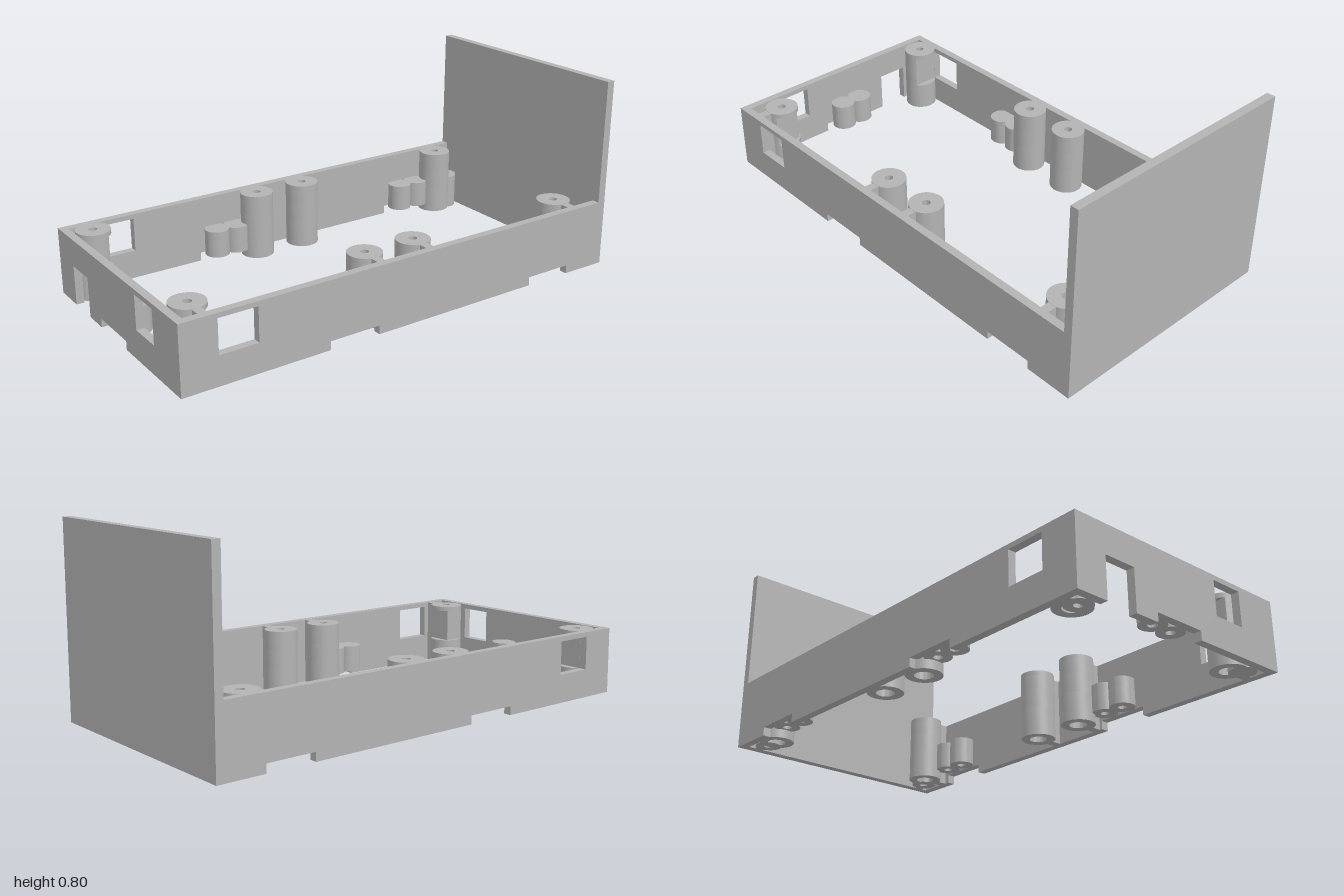
import * as THREE from 'three';
import { toCreasedNormals } from 'three/addons/utils/BufferGeometryUtils.js';

const H = 0.28; // frame height
const T = 0.033; // wall thickness
const D = 0.51; // half depth
const WIN = [0.12, 0.26]; // window sill and head

export function createModel() {
  const model = new THREE.Group();
  const grey = new THREE.MeshStandardMaterial({ color: 0xb3b3b3 });
  grey.name = 'grey plastic';

  const add = (geometry, name, parent = model) => {
    const mesh = new THREE.Mesh(geometry, grey);
    mesh.name = name;
    parent.add(mesh);
    return mesh;
  };
  const box = (name, x0, x1, y0, y1, z0, z1, parent) =>
    add(new THREE.BoxGeometry(x1 - x0, y1 - y0, z1 - z0), name, parent)
      .position.set((x0 + x1) / 2, (y0 + y1) / 2, (z0 + z1) / 2);

  // Wall outline with notches [start, end, height] along the bottom and one window
  const wallGeometry = (a, b, notches, window) => {
    const shape = new THREE.Shape();
    shape.moveTo(a, 0);
    for (const [s, e, h] of notches) {
      shape.lineTo(s, 0);
      shape.lineTo(s, h);
      shape.lineTo(e, h);
      shape.lineTo(e, 0);
    }
    shape.lineTo(b, 0);
    shape.lineTo(b, H);
    shape.lineTo(a, H);
    shape.closePath();
    const [s, e] = window;
    shape.holes.push(new THREE.Path([[s, WIN[0]], [s, WIN[1]], [e, WIN[1]], [e, WIN[0]]]
      .map(([x, y]) => new THREE.Vector2(x, y))));
    return new THREE.ExtrudeGeometry(shape, { depth: T, bevelEnabled: false });
  };

  // Front and back walls
  const longWall = wallGeometry(-1, 0.98, [[-0.39, -0.17, 0.036], [0.59, 0.80, 0.036]], [-0.85, -0.69]);
  add(longWall, 'frontWall').position.z = D - T;
  add(longWall, 'backWall').position.z = -D;

  // Left-hand end wall; its outline runs along -z before turning
  const endWall = wallGeometry(-D + T, D - T, [[-0.085, 0.135, 0.036], [0.24, 0.375, 0.165]], [-0.32, -0.18]);
  endWall.rotateY(Math.PI / 2);
  add(endWall, 'endWall').position.x = -1;

  // Tall end plate
  box('endPlate', 0.965, 1, 0, 0.8, -D, D);

  // Round column section, optionally bored, with flats at maxX and minZ
  const column = (r, hole, y0, y1, maxX = 1, minZ = -1) => {
    const ring = (radius) => Array.from({ length: 40 }, (_, i) => {
      const t = (i / 40) * Math.PI * 2;
      return new THREE.Vector2(
        Math.min(radius * Math.cos(t), maxX),
        Math.min(radius * Math.sin(t), -minZ));
    });
    const shape = new THREE.Shape(ring(r));
    if (hole) shape.holes.push(new THREE.Path(ring(hole)));
    const g = new THREE.ExtrudeGeometry(shape, { depth: y1 - y0, bevelEnabled: false });
    g.rotateX(-Math.PI / 2);
    g.translate(0, y0, 0);
    return toCreasedNormals(g, 0.4);
  };

  // Screw standoffs: counterbored from below, joined to the wall by a rib
  for (const x of [-0.89, -0.14, 0.09, 0.84]) {
    for (const [z, wallZ] of [[0.37, D - T], [-0.42, -D + T]]) {
      const standoff = new THREE.Group();
      standoff.name = 'screwStandoff';
      standoff.position.set(x, 0, z);
      model.add(standoff);
      // Columns beside the windows are cut flush with the openings
      const corner = x < -0.5;
      const maxX = corner ? 0.04 : 1;
      const minZ = corner && z > 0 ? -0.05 : -1;
      add(column(0.07, 0.036, 0, WIN[0]), 'standoffBase', standoff);
      add(column(0.07, 0.036, WIN[0], 0.2, maxX, minZ), 'standoffMiddle', standoff);
      add(column(0.07, 0.017, 0.2, WIN[1], maxX, minZ), 'standoffNeck', standoff);
      add(column(0.07, 0.017, WIN[1], H), 'standoffTop', standoff);
      const s = Math.sign(z);
      const near = s * 0.064;
      const far = wallZ - z + s * 0.004;
      box('standoffRib', -0.018, 0.018, 0, H - 0.001, Math.min(near, far), Math.max(near, far), standoff);
    }
  }

  // Short magnet posts: bored from below, closed on top
  const post = (name, x, z, y0) => {
    const g = new THREE.Group();
    g.name = name;
    g.position.set(x, 0, z);
    model.add(g);
    add(column(0.052, 0.018, y0, 0.11), 'postBody', g);
    add(column(0.052, 0, 0.11, 0.15), 'postCap', g);
  };
  for (const z of [0.425, -0.435]) {
    for (const x of [-0.33, -0.237, 0.647, 0.74]) post('pairedPost', x, z, 0.036);
    post('cornerPost', 0.905, z > 0 ? 0.415 : -0.42, 0);
    post('cornerPost', -0.917, z > 0 ? 0.415 : -0.42, 0);
    // Small web tying the corner post to the end plate
    box('cornerWeb', 0.94, 0.967, 0, 0.15, z - 0.012, z + 0.024);
  }
  for (const z of [-0.07, 0.022]) post('pairedPost', -0.92, z, 0.036);

  return model;
}
